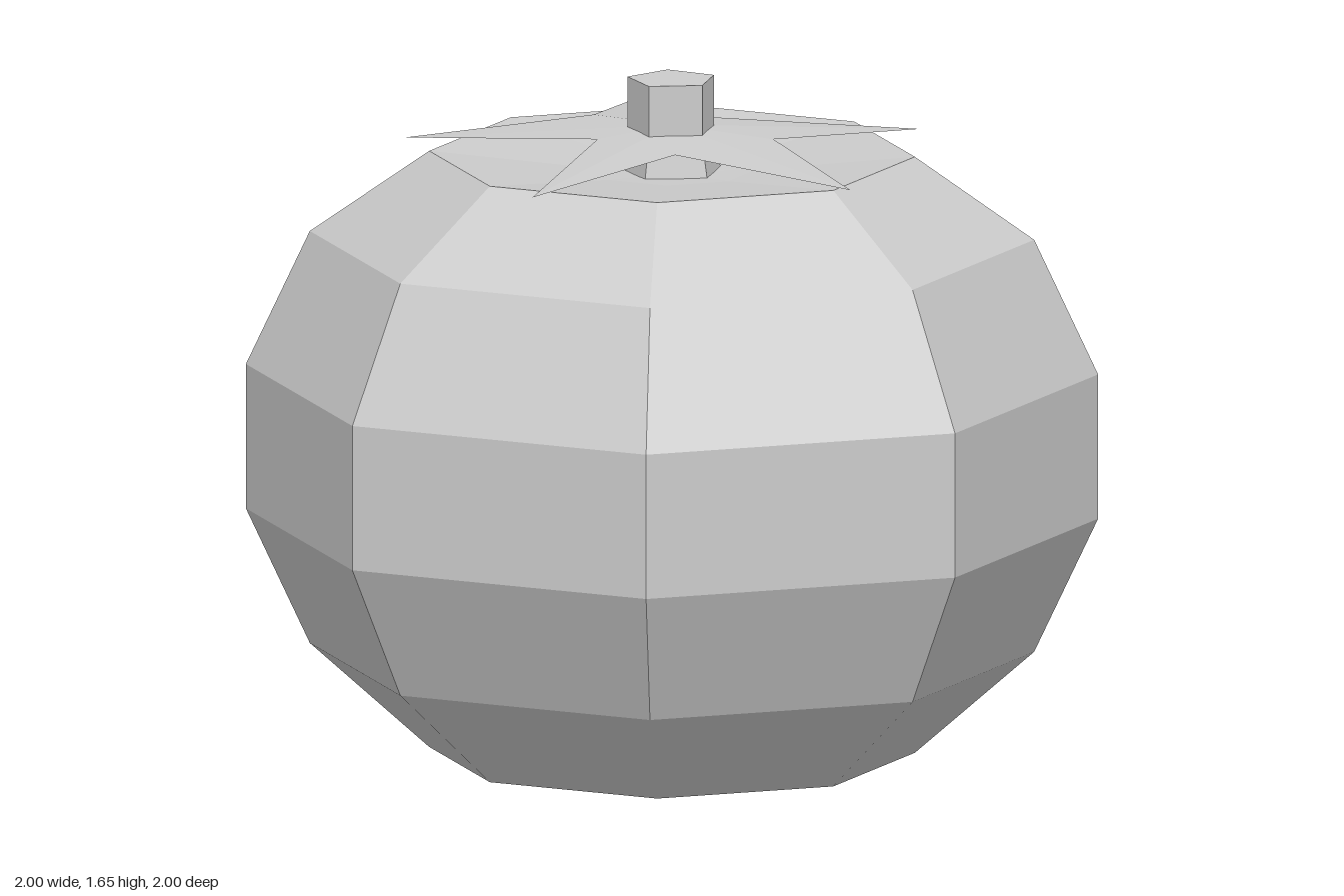
import * as THREE from 'three';

export function createModel() {
  const group = new THREE.Group();
  const material = new THREE.MeshStandardMaterial({ color: 0xcccccc, flatShading: true });
  const leafMaterial = new THREE.MeshStandardMaterial({ color: 0xcccccc, flatShading: true, side: THREE.DoubleSide });

  const add = (name, geometry, mat = material) => {
    const mesh = new THREE.Mesh(geometry, mat);
    mesh.name = name;
    group.add(mesh);
    return mesh;
  };

  // Eight-sided fruit with a shallow dip at the top
  const profile = [
    [0, 0], [0.2, 0], [0.57, 0.05], [0.85, 0.295], [1, 0.615],
    [1, 0.96], [0.85, 1.28], [0.57, 1.475], [0.2, 1.44], [0, 1.43],
  ].map(([r, y]) => new THREE.Vector2(r, y));
  add('fruitBody', new THREE.LatheGeometry(profile, 8));

  // Five-pointed leaf crown: tips and notches alternate, starting at the front tip
  const rim = [
    [0, 1.485, 0.63], [0.145, 1.52, 0.195], [0.605, 1.482, 0.193], [0.195, 1.525, -0.07], [0.37, 1.485, -0.518],
    [0.005, 1.525, -0.282], [-0.375, 1.485, -0.522], [-0.18, 1.525, -0.06], [-0.605, 1.482, 0.19], [-0.15, 1.52, 0.18],
  ];
  const centre = [0, 1.545, 0];
  const corners = rim.flatMap((p, i) => [...centre, ...p, ...rim[(i + 1) % rim.length]]);
  const crown = new THREE.BufferGeometry();
  crown.setAttribute('position', new THREE.Float32BufferAttribute(corners, 3));
  crown.computeVertexNormals();
  add('leafCrown', crown, leafMaterial);

  // Five-sided stem, with its wider foot under the crown
  add('stem', new THREE.CylinderGeometry(0.107, 0.107, 0.135, 5)).position.y = 1.5875;
  add('stemFoot', new THREE.CylinderGeometry(0.107, 0.125, 0.09, 5)).position.y = 1.475;

  return group;
}
